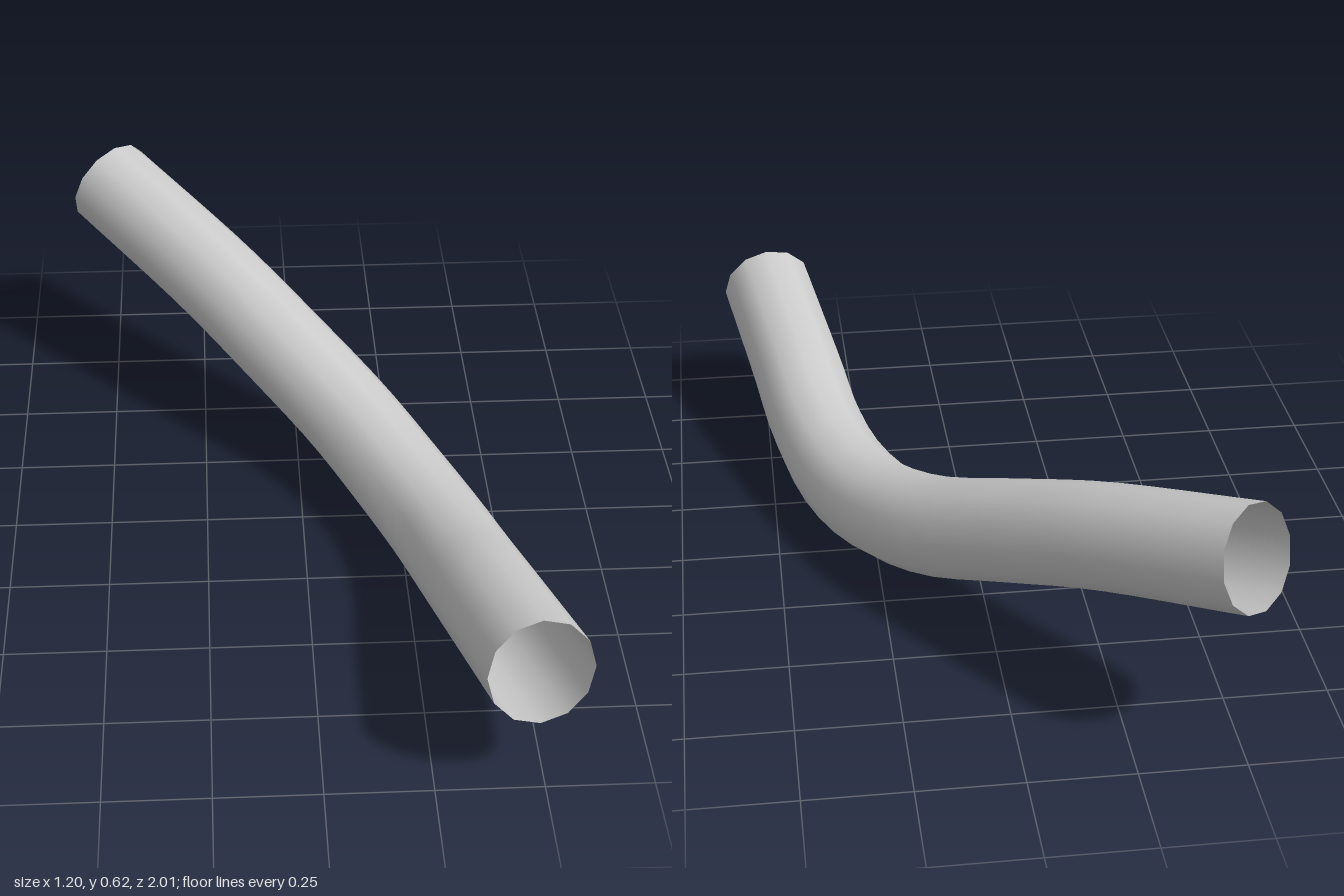
import * as THREE from 'three';

export function createModel() {
  const group = new THREE.Group();
  group.name = 'bentPipe';

  // Centre line of the pipe, from the front mouth to the raised back mouth
  const path = new THREE.CatmullRomCurve3([
    [0.477, 0.32, 0.963],
    [0.41, 0.221, 0.6],
    [0.375, 0.163, 0.4],
    [0.325, 0.132, 0.2],
    [0.245, 0.138, 0],
    [0.13, 0.19, -0.2],
    [-0.038, 0.286, -0.4],
    [-0.215, 0.383, -0.6],
    [-0.505, 0.505, -0.925],
  ].map((p) => new THREE.Vector3(...p)));

  // Thin-walled, open at both ends, twelve sides with smooth normals
  const pipe = new THREE.Mesh(
    new THREE.TubeGeometry(path, 28, 0.125, 12, false),
    new THREE.MeshStandardMaterial({ color: 0xcccccc, side: THREE.DoubleSide })
  );
  pipe.name = 'pipe';
  group.add(pipe);
  return group;
}
